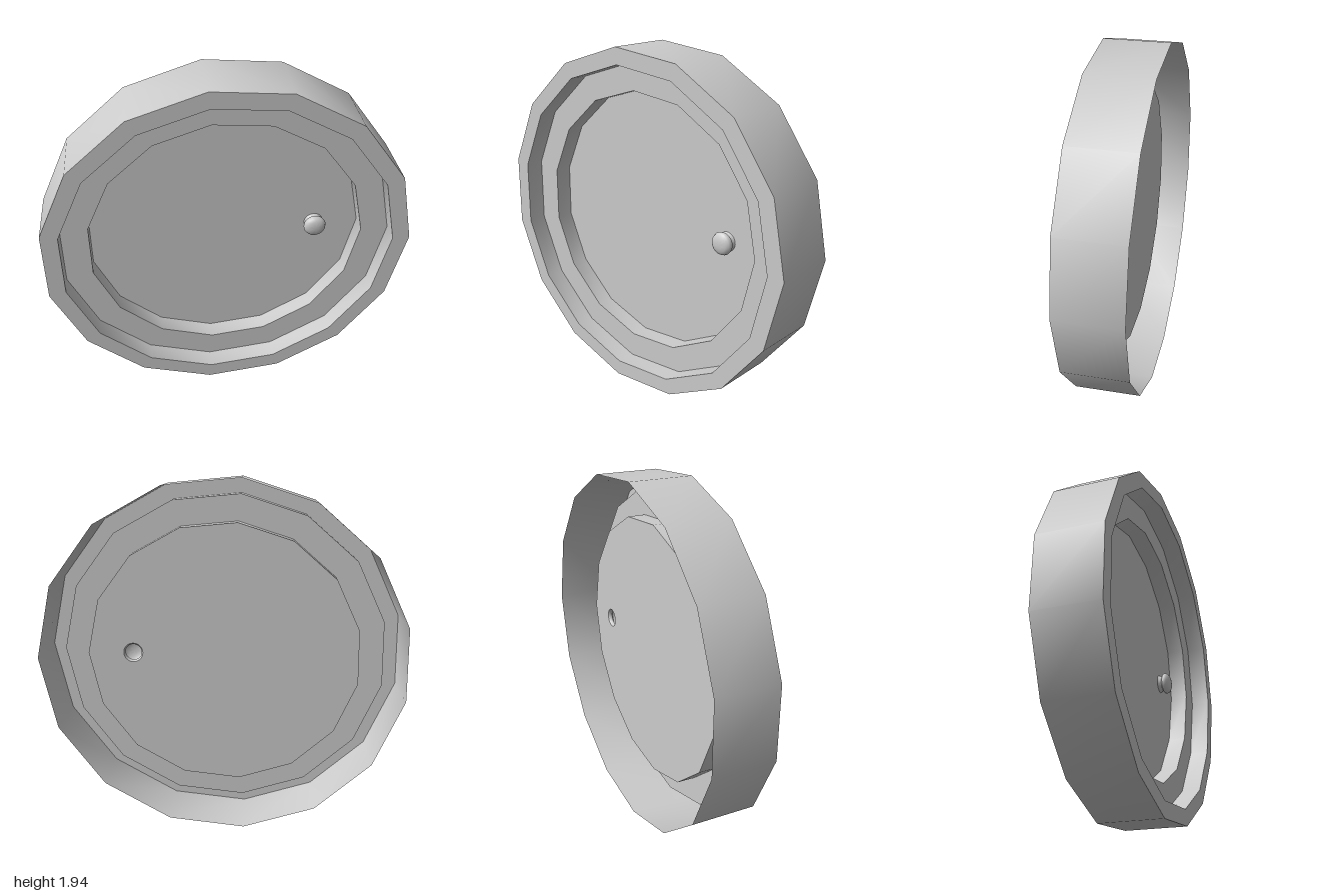
import * as THREE from 'three';
import { toCreasedNormals } from 'three/addons/utils/BufferGeometryUtils.js';

const SIDES = 15;
const DISC_Z = -0.03, DISC_R = 0.755;
const KNOB = { x: 0.5, y: 0.985, neck: 0.054 };

// Slightly oval, slightly skewed placement shared by the rings and the disc
const skew = new THREE.Matrix4().set(
  1.011, 0.01, 0, -0.011,
  0.01, 0.977, 0, 0.975,
  0, 0, 1, 0,
  0, 0, 0, 1
);

const material = new THREE.MeshStandardMaterial({ color: 0xcccccc, side: THREE.DoubleSide });

// Turn a [radius, z] profile around the z axis
function turned(profile, segments) {
  const points = profile.map(([r, z]) => new THREE.Vector2(r, z));
  return new THREE.LatheGeometry(points, segments, Math.PI / 2).rotateX(Math.PI / 2);
}

function addPart(group, name, geometry) {
  const mesh = new THREE.Mesh(geometry, material);
  mesh.name = name;
  group.add(mesh);
  return mesh;
}

export function createModel() {
  const group = new THREE.Group();
  group.name = 'roundDoor';

  // Thin shell: outer wall, front rim, first step, ledge, second step (open at the back)
  const shell = turned([
    [1, -0.177], [1, 0.177], [0.906, 0.177], [0.906, 0.07], [DISC_R, 0.07], [DISC_R, DISC_Z],
  ], SIDES).applyMatrix4(skew);
  addPart(group, 'steppedFrame', toCreasedNormals(shell, 0.6));

  // Recessed panel with a hole behind the knob
  const outline = [];
  for (let i = 0; i < SIDES; i++) {
    const a = (i / SIDES) * Math.PI * 2;
    const p = new THREE.Vector3(DISC_R * Math.cos(a), DISC_R * Math.sin(a), 0).applyMatrix4(skew);
    outline.push(new THREE.Vector2(p.x, p.y));
  }
  const panel = new THREE.Shape(outline);
  panel.holes.push(new THREE.Path().absarc(KNOB.x, KNOB.y, KNOB.neck, 0, Math.PI * 2, true));
  addPart(group, 'panel', new THREE.ShapeGeometry(panel, 10)).position.z = DISC_Z;

  // Hollow knob: short pinched neck and a domed head
  const knob = turned([
    [KNOB.neck, 0], [0.046, 0.012], [0.046, 0.022], [0.06, 0.03], [0.063, 0.042],
    [0.057, 0.056], [0.04, 0.066], [0.02, 0.07], [0, 0.071],
  ], 20);
  addPart(group, 'knob', toCreasedNormals(knob, 0.8)).position.set(KNOB.x, KNOB.y, DISC_Z);

  return group;
}
